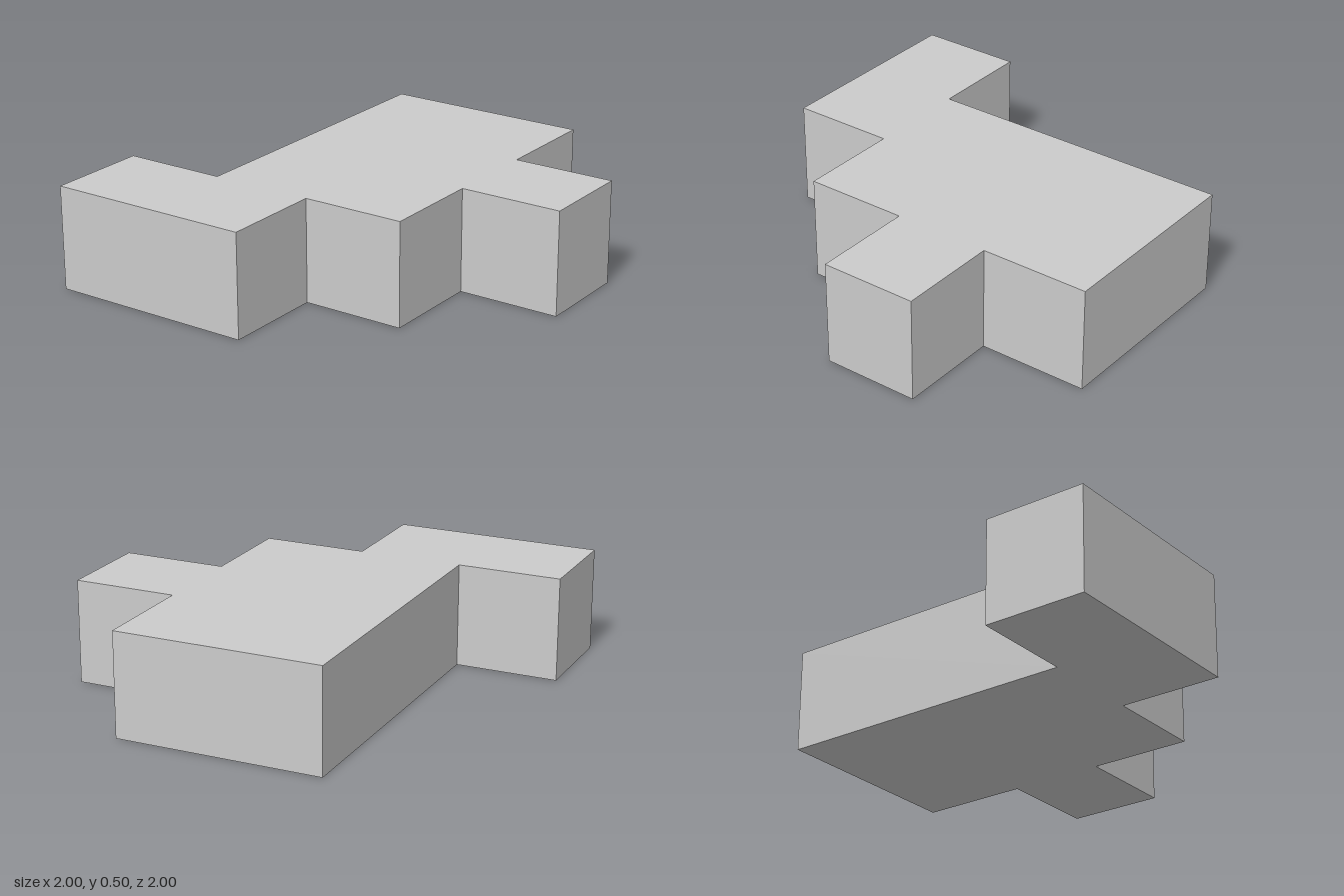
import * as THREE from 'three';

const HEIGHT = 0.5;

// Plan outline as [x, z] corners
const OUTLINE = [
  [-1, 1], [-1, 0.5], [-0.5, 0.5], [-0.5, -1], // front-right foot and long right side
  [0.5, -1], [0.5, -0.47], [1, -0.47], [1, 0], // back edge and left tab
  [0.5, 0], [0.5, 0.5], [0, 0.5], [0, 1],      // steps down to the front
];

export function createModel() {
  const group = new THREE.Group();
  group.name = 'steppedBlock';

  const shape = new THREE.Shape(OUTLINE.map(([x, z]) => new THREE.Vector2(x, z)));
  const geometry = new THREE.ExtrudeGeometry(shape, { depth: HEIGHT, bevelEnabled: false });

  // Lay the plan flat: shape y becomes z, extrusion runs down from the top
  geometry.rotateX(Math.PI / 2);
  geometry.translate(0, HEIGHT, 0);

  const slab = new THREE.Mesh(
    geometry,
    new THREE.MeshStandardMaterial({ color: 0xcccccc, flatShading: true })
  );
  slab.name = 'slab';
  group.add(slab);
  return group;
}
